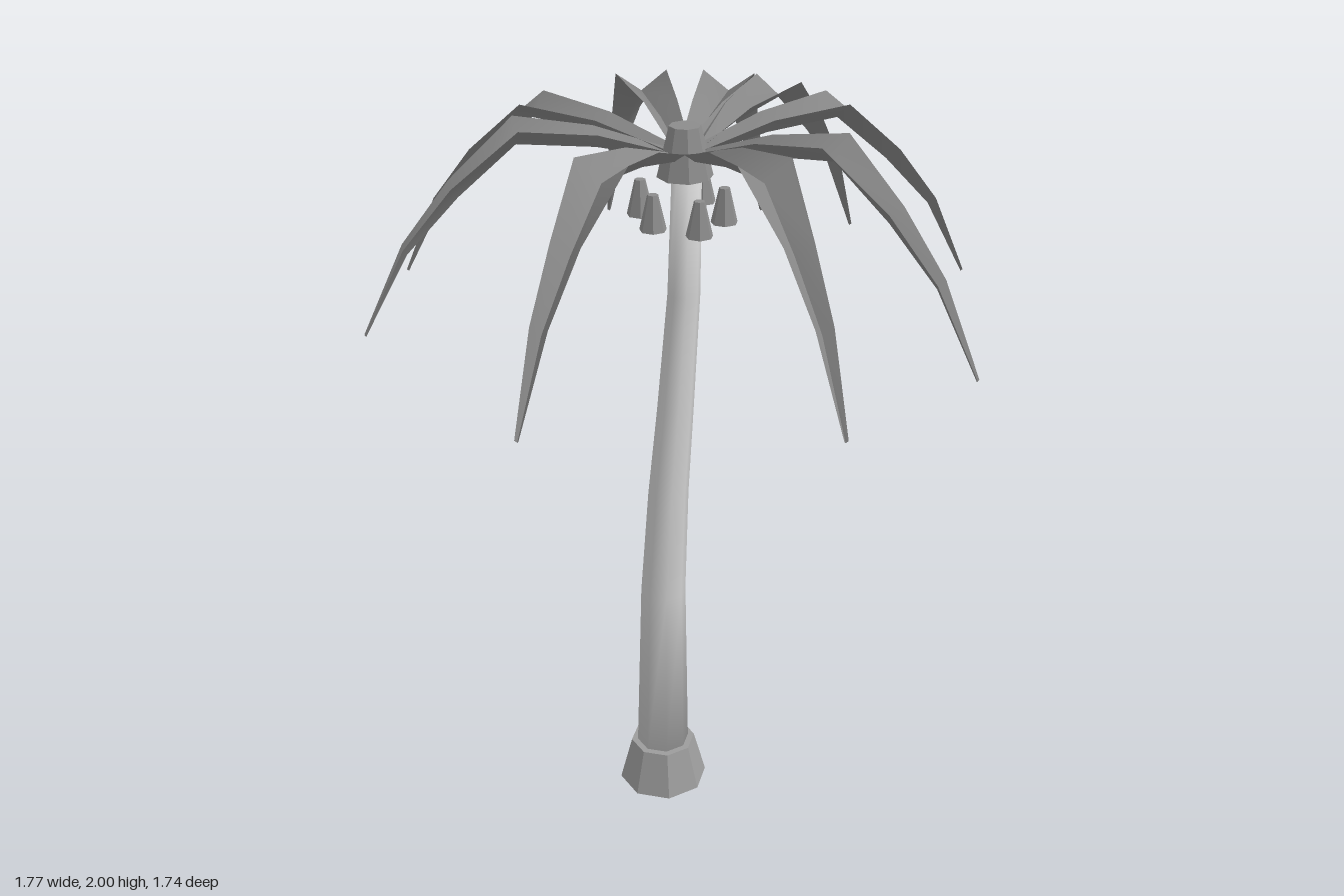
import * as THREE from 'three';
import { mergeVertices } from 'three/addons/utils/BufferGeometryUtils.js';

const barkMat = new THREE.MeshStandardMaterial({ color: 0xcccccc });
const collarMat = new THREE.MeshStandardMaterial({ color: 0x9c9c9c, flatShading: true });
const nutMat = new THREE.MeshStandardMaterial({ color: 0x8c8c8c, flatShading: true });
const leafMat = new THREE.MeshStandardMaterial({ color: 0x868686, side: THREE.DoubleSide });
const HUB_X = -0.005, HUB_Z = -0.015;

function add(parent, name, geometry, material, x = 0, y = 0, z = 0) {
  const mesh = new THREE.Mesh(geometry, material);
  mesh.name = name;
  mesh.position.set(x, y, z);
  parent.add(mesh);
  return mesh;
}

// Welds all corners and shades smoothly, weighting each face by its corner angle
function soften(source) {
  source.deleteAttribute('uv');
  source.deleteAttribute('normal');
  const geometry = mergeVertices(source, 1e-4);
  const pos = geometry.attributes.position, index = geometry.index;
  const sums = Array.from({ length: pos.count }, () => new THREE.Vector3());
  for (let f = 0; f < index.count; f += 3) {
    const ids = [0, 1, 2].map((k) => index.getX(f + k));
    const p = ids.map((i) => new THREE.Vector3().fromBufferAttribute(pos, i));
    const normal = new THREE.Triangle(...p).getNormal(new THREE.Vector3());
    ids.forEach((id, k) => {
      const a = p[(k + 1) % 3].clone().sub(p[k]), b = p[(k + 2) % 3].clone().sub(p[k]);
      sums[id].addScaledVector(normal, a.angleTo(b));
    });
  }
  const normals = sums.flatMap((n) => n.normalize().toArray());
  geometry.setAttribute('normal', new THREE.Float32BufferAttribute(normals, 3));
  return geometry;
}

// Leaning trunk: each ring of a unit cylinder is moved to its place
function trunkGeometry() {
  // centre x, y, z and radius
  const rings = [
    [-0.243, 0.12, 0.075, 0.077], [-0.216, 0.65, 0.061, 0.065], [-0.177, 0.95, 0.052, 0.058],
    [-0.128, 1.2, 0.042, 0.052], [-0.066, 1.52, 0.026, 0.046], [-0.008, 1.87, -0.006, 0.041],
  ];
  const last = rings.length - 1;
  const geometry = new THREE.CylinderGeometry(1, 1, last, 8, last);
  const pos = geometry.attributes.position;
  for (let i = 0; i < pos.count; i++) {
    const [x, y, z, r] = rings[Math.round(pos.getY(i) + last / 2)];
    pos.setXYZ(i, x + pos.getX(i) * r, y, z + pos.getZ(i) * r);
  }
  return soften(geometry);
}

// Arching leaf along +x with a V-shaped section; the two halves meet in a sharp fold
function frondGeometry() {
  // reach, rim height, half width, depth of the fold
  const sections = [
    [0.03, 1.9, 0.025, 0.02], [0.24, 1.97, 0.048, 0.045], [0.45, 2.0, 0.076, 0.055],
    [0.63, 1.845, 0.043, 0.035], [0.765, 1.68, 0.026, 0.02], [0.885, 1.437, 0.006, 0.006],
  ];
  const points = [], index = [];
  for (const side of [-1, 1]) {
    sections.forEach(([r, y, w, depth], i) => {
      // the fold leans inward where the leaf droops
      const rim = [r, y, side * w], fold = [r - (i > 2 ? depth * 0.6 : 0), y - depth, 0];
      const a = points.length / 3 - 2, b = a + 2;
      points.push(...(side < 0 ? [...rim, ...fold] : [...fold, ...rim]));
      if (i > 0) index.push(a, a + 1, b, b, a + 1, b + 1);
    });
  }
  const geometry = new THREE.BufferGeometry();
  geometry.setAttribute('position', new THREE.Float32BufferAttribute(points, 3));
  geometry.setIndex(index);
  geometry.computeVertexNormals();
  return geometry;
}

export function createModel() {
  const palm = new THREE.Group();
  palm.name = 'palmTree';

  // Root collar, trunk, and the hub that holds the leaves
  add(palm, 'rootCollar', new THREE.CylinderGeometry(0.095, 0.13, 0.135, 8), collarMat, -0.243, 0.0675, 0.075);
  add(palm, 'trunk', trunkGeometry(), barkMat);
  add(palm, 'crownHub', new THREE.CylinderGeometry(0.044, 0.078, 0.14, 8), nutMat, HUB_X, 1.9, HUB_Z);

  // Fronds, each turned towards its tip (x, z)
  const fronds = new THREE.Group();
  fronds.name = 'fronds';
  palm.add(fronds);
  const frond = frondGeometry();
  const tips = [
    [-0.24, -0.87], [0.53, -0.72], [0.825, -0.32], [0.88, -0.015], [0.74, 0.46],
    [0.07, 0.865], [-0.42, 0.77], [-0.885, 0.135], [-0.66, -0.615],
  ];
  for (const [x, z] of tips) {
    const dx = x - HUB_X, dz = z - HUB_Z;
    const leaf = add(fronds, 'frond', frond, leafMat, HUB_X, 0, HUB_Z);
    leaf.rotation.y = Math.atan2(-dz, dx);
    leaf.scale.x = Math.hypot(dx, dz) / 0.885;
  }

  // Coconuts hanging around the top of the trunk
  const coconuts = new THREE.Group();
  coconuts.name = 'coconuts';
  palm.add(coconuts);
  const nut = new THREE.CylinderGeometry(0.015, 0.038, 0.1, 7);
  const spots = [
    [-0.11, 1.75, -0.045], [-0.055, 1.74, 0.07], [0.11, 1.77, -0.04],
    [0.075, 1.74, 0.06], [-0.075, 1.77, -0.115],
  ];
  for (const [x, y, z] of spots) add(coconuts, 'coconut', nut, nutMat, x, y, z);

  return palm;
}
